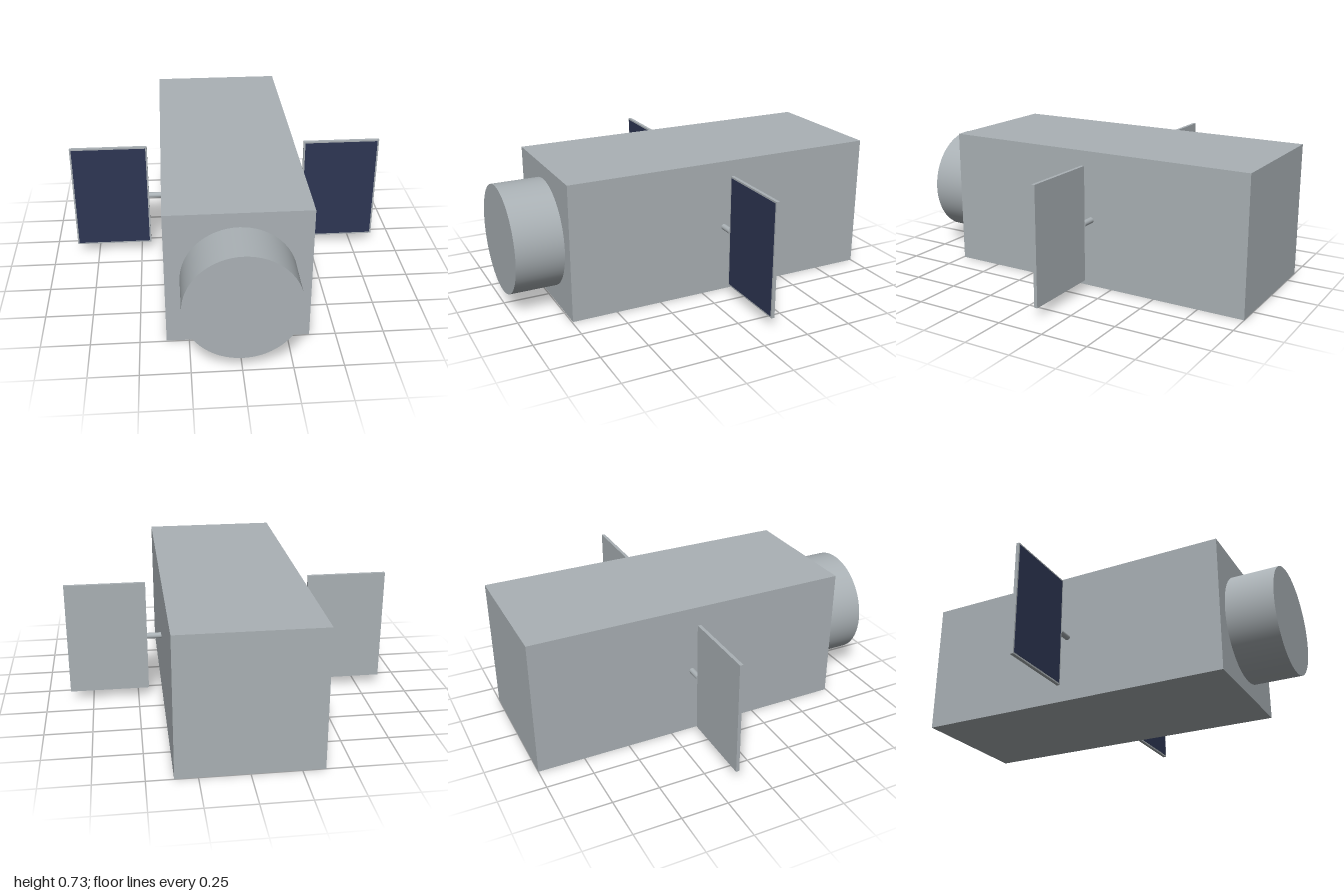
import * as THREE from 'three';

export function createModel() {
  const model = new THREE.Group();
  const grey = new THREE.MeshStandardMaterial({ color: 0xaab1b5 });
  grey.name = 'metal grey';
  const navy = new THREE.MeshStandardMaterial({ color: 0x2e3653 });
  navy.name = 'solar navy';

  const add = (parent, name, geometry, material, x, y, z) => {
    const mesh = new THREE.Mesh(geometry, material);
    mesh.name = name;
    mesh.position.set(x, y, z);
    parent.add(mesh);
    return mesh;
  };

  const midY = 0.367;
  const wingZ = -0.1275;

  // Long square body
  add(model, 'body', new THREE.BoxGeometry(0.73, 0.734, 1.745), grey, 0, midY, -0.1275);

  // Round drum on the front
  const drum = add(model, 'frontDrum', new THREE.CylinderGeometry(0.29, 0.29, 0.255, 64), grey, 0, midY, 0.8725);
  drum.rotation.x = Math.PI / 2;

  // Solar wings: strut, panel and dark cell face on each side
  for (const [side, label] of [[1, 'left'], [-1, 'right']]) {
    const wing = new THREE.Group();
    wing.name = label + 'Wing';
    const strut = add(wing, label + 'Strut', new THREE.CylinderGeometry(0.016, 0.016, 0.08, 24), grey, side * 0.403, midY, wingZ);
    strut.rotation.z = Math.PI / 2;
    add(wing, label + 'Panel', new THREE.BoxGeometry(0.43, 0.618, 0.018), grey, side * 0.657, midY, wingZ);
    add(wing, label + 'SolarCells', new THREE.BoxGeometry(0.412, 0.6, 0.002), navy, side * 0.657, midY, wingZ + 0.0095);
    model.add(wing);
  }

  return model;
}
